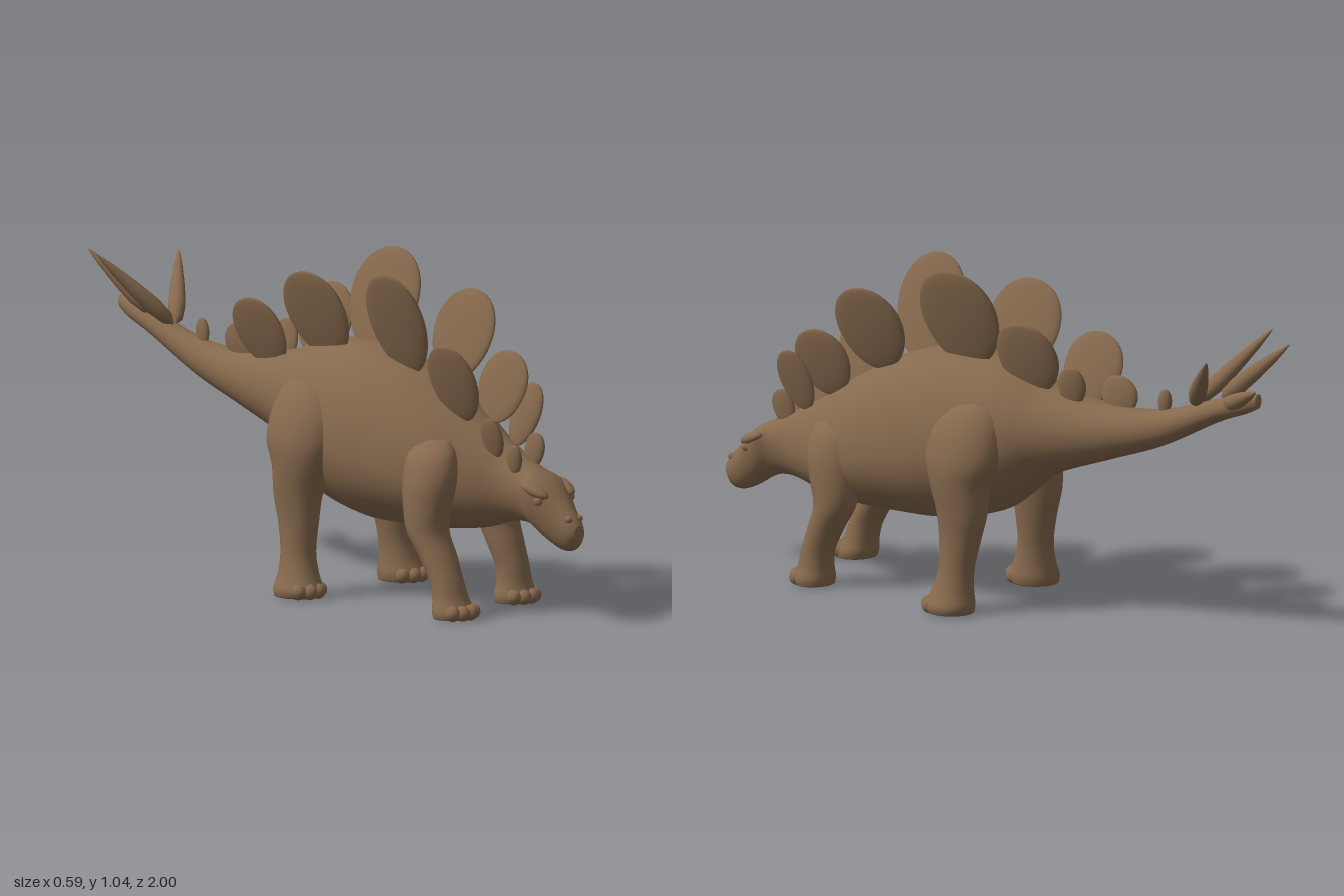
import * as THREE from 'three';

const skin = new THREE.MeshStandardMaterial({ color: 0x86694d });
skin.name = 'brown skin';

// Smooth interpolation of rows of numbers
function refine(rows, steps) {
  const out = [];
  const at = i => rows[Math.max(0, Math.min(rows.length - 1, i))];
  for (let i = 0; i < rows.length - 1; i++) {
    for (let s = 0; s < steps; s++) {
      const t = s / steps;
      out.push(rows[i].map((p1, k) => {
        const p0 = at(i - 1)[k], p2 = at(i + 1)[k], p3 = at(i + 2)[k];
        return p1 + 0.5 * t * (p2 - p0 + t * (2 * p0 - 5 * p1 + 4 * p2 - p3 + t * (3 * (p1 - p2) + p3 - p0)));
      }));
    }
  }
  out.push(rows[rows.length - 1]);
  return out;
}

// Closed skin over a row of rings; ringPoint gives a point at an angle
function loft(rows, sides, ringPoint) {
  const pos = [], index = [], n = rows.length;
  for (const row of rows) {
    for (let j = 0; j < sides; j++) pos.push(...ringPoint(row, (j / sides) * Math.PI * 2));
  }
  for (const r of [rows[0], rows[n - 1]]) {
    const a = ringPoint(r, 0), b = ringPoint(r, Math.PI);
    pos.push(...a.map((v, k) => (v + b[k]) / 2));
  }
  for (let i = 0; i < n; i++) {
    for (let j = 0; j < sides; j++) {
      const a = i * sides + j, b = i * sides + (j + 1) % sides;
      if (i < n - 1) index.push(a, a + sides, b, b, a + sides, b + sides);
      if (i === 0) index.push(n * sides, a, b);
      if (i === n - 1) index.push(n * sides + 1, b, a);
    }
  }
  const g = new THREE.BufferGeometry();
  g.setAttribute('position', new THREE.Float32BufferAttribute(pos, 3));
  g.setIndex(index);
  g.computeVertexNormals();
  return g;
}

// Body sections from snout to tail: z, centre x, top, bottom, half width, height of widest point
const BODY = [
  [1.0, 0.04, 0.3, 0.255, 0.02, 0.5],
  [0.978, 0.04, 0.33, 0.225, 0.038, 0.5],
  [0.94, 0.04, 0.37, 0.22, 0.052, 0.58],
  [0.89, 0.04, 0.42, 0.24, 0.073, 0.72],
  [0.85, 0.04, 0.445, 0.265, 0.084, 0.74],
  [0.81, 0.04, 0.465, 0.285, 0.072, 0.6],
  [0.76, 0.04, 0.49, 0.29, 0.072, 0.5],
  [0.7, 0.04, 0.52, 0.28, 0.09, 0.45],
  [0.62, 0.03, 0.57, 0.255, 0.13, 0.42],
  [0.5, 0.02, 0.65, 0.24, 0.185, 0.4],
  [0.35, 0.01, 0.73, 0.235, 0.21, 0.4],
  [0.18, 0.005, 0.775, 0.24, 0.22, 0.42],
  [0.0, 0.01, 0.77, 0.285, 0.2, 0.45],
  [-0.1, 0.015, 0.745, 0.35, 0.168, 0.48],
  [-0.2, 0.02, 0.71, 0.43, 0.128, 0.5],
  [-0.4, 0.02, 0.678, 0.505, 0.085, 0.5],
  [-0.6, 0.015, 0.692, 0.578, 0.053, 0.5],
  [-0.8, 0.01, 0.755, 0.68, 0.038, 0.5],
  [-0.9, 0.012, 0.782, 0.72, 0.027, 0.5],
  [-0.95, 0.015, 0.79, 0.745, 0.014, 0.5],
];

function bodyPoint([z, cx, top, bottom, hw, f], a) {
  const mid = bottom + (top - bottom) * f, s = Math.sin(a);
  return [cx + hw * Math.cos(a), mid + s * (s > 0 ? top - mid : mid - bottom), z];
}

// Leg sections from hip to sole: x, y, z, half width in x, half depth in z
const HIND_LEG = [
  [0.1, 0.665, 0.0, 0.03, 0.04],
  [0.13, 0.64, 0.01, 0.065, 0.085],
  [0.162, 0.57, 0.025, 0.083, 0.12],
  [0.182, 0.48, 0.03, 0.09, 0.127],
  [0.192, 0.4, 0.035, 0.08, 0.1],
  [0.197, 0.31, 0.025, 0.065, 0.083],
  [0.2, 0.23, 0.03, 0.056, 0.068],
  [0.208, 0.14, 0.037, 0.052, 0.057],
  [0.215, 0.075, 0.045, 0.06, 0.066],
  [0.222, 0.03, 0.052, 0.074, 0.08],
  [0.222, 0.006, 0.052, 0.07, 0.076],
];
const FRONT_LEG = [
  [0.1, 0.53, 0.53, 0.03, 0.04],
  [0.13, 0.49, 0.53, 0.065, 0.08],
  [0.152, 0.42, 0.53, 0.075, 0.09],
  [0.165, 0.34, 0.52, 0.072, 0.08],
  [0.172, 0.26, 0.515, 0.066, 0.066],
  [0.172, 0.19, 0.545, 0.06, 0.057],
  [0.175, 0.12, 0.572, 0.054, 0.052],
  [0.175, 0.065, 0.582, 0.058, 0.054],
  [0.175, 0.028, 0.588, 0.07, 0.062],
  [0.175, 0.006, 0.588, 0.067, 0.06],
];

const legPoint = ([x, y, z, rx, rz], a) => [x + rx * Math.cos(a), y, z - rz * Math.sin(a)];

// Plates: base point, tip point, half width
const PLATES = [
  [-0.01, 0.44, 0.77, -0.02, 0.53, 0.78, 0.03],
  [0.06, 0.45, 0.77, 0.07, 0.56, 0.79, 0.04],
  [-0.01, 0.48, 0.69, -0.045, 0.605, 0.695, 0.045],
  [0.07, 0.51, 0.69, 0.12, 0.7, 0.735, 0.06],
  [-0.02, 0.58, 0.56, -0.11, 0.82, 0.57, 0.1],
  [0.065, 0.57, 0.6, 0.13, 0.785, 0.62, 0.1],
  [0.07, 0.68, 0.42, 0.165, 0.95, 0.42, 0.125],
  [-0.02, 0.7, 0.33, -0.135, 1.015, 0.34, 0.12],
  [0.04, 0.73, 0.11, 0.145, 1.045, 0.1, 0.143],
  [-0.03, 0.71, 0.0, -0.13, 0.985, -0.02, 0.13],
  [0.045, 0.68, -0.12, 0.12, 0.91, -0.16, 0.112],
  [-0.01, 0.65, -0.26, -0.09, 0.865, -0.31, 0.105],
  [0.045, 0.66, -0.27, 0.07, 0.785, -0.3, 0.05],
  [0.01, 0.645, -0.41, 0.0, 0.765, -0.44, 0.065],
  [0.015, 0.67, -0.595, 0.02, 0.755, -0.61, 0.025],
];

// Tail spikes: base point, tip point
const SPIKES = [
  [0.0, 0.725, -0.71, -0.175, 0.945, -0.87],
  [0.01, 0.725, -0.71, 0.19, 0.915, -0.88],
  [0.0, 0.75, -0.8, -0.08, 0.935, -1.0],
  [0.01, 0.73, -0.82, 0.065, 0.81, -0.975],
];

export function createModel() {
  const model = new THREE.Group();
  const add = (name, geometry, parent = model) => {
    const m = new THREE.Mesh(geometry, skin);
    m.name = name;
    parent.add(m);
    return m;
  };
  // Stretches a unit-high part between two points, its breadth along z
  const span = (mesh, [bx, by, bz, tx, ty, tz], thick, breadth) => {
    const base = new THREE.Vector3(bx, by, bz);
    const up = new THREE.Vector3(tx, ty, tz).sub(base);
    const length = up.length();
    up.normalize();
    const side = new THREE.Vector3().crossVectors(up, new THREE.Vector3(0, 0, 1)).normalize();
    const front = new THREE.Vector3().crossVectors(side, up);
    mesh.quaternion.setFromRotationMatrix(new THREE.Matrix4().makeBasis(side, up, front));
    mesh.position.copy(base);
    mesh.scale.set(thick, length, breadth);
  };
  const ball = new THREE.SphereGeometry(1, 20, 14);
  const blob = (name, parent, x, y, z, rx, ry, rz) => {
    const m = add(name, ball, parent);
    m.position.set(x, y, z);
    m.scale.set(rx, ry, rz);
    return m;
  };

  add('body', loft(refine(BODY, 5), 40, bodyPoint));

  // Brow ridges, eyes and nostrils
  for (const s of [-1, 1]) {
    blob('browRidge', model, 0.04 + s * 0.064, 0.402, 0.872, 0.024, 0.017, 0.05).rotation.set(0.4, -s * 0.25, 0);
    blob('eye', model, 0.04 + s * 0.068, 0.372, 0.89, 0.012, 0.014, 0.016);
    blob('nostril', model, 0.04 + s * 0.022, 0.32, 0.975, 0.011, 0.011, 0.013);
  }

  // Legs with toes; the right front foot is a step ahead
  const leg = (name, rows, s, step, toes) => {
    const group = new THREE.Group();
    group.name = name;
    model.add(group);
    const top = rows[0][1];
    const placed = rows.map(([x, y, z, rx, rz]) => [s * x, y, z + step * (1 - y / top), rx, rz]);
    add('limb', loft(refine(placed, 4), 28, legPoint), group);
    const [x, , z, rx, rz] = placed[placed.length - 1];
    for (let i = 0; i < toes; i++) {
      const a = ((i + 0.5) / toes - 0.5) * 2.3;
      blob('toe', group, x + Math.sin(a) * rx * 0.85, 0.026, z + Math.cos(a) * rz * 0.9, 0.021, 0.024, 0.026);
    }
  };
  leg('leftHindLeg', HIND_LEG, 1, 0, 4);
  leg('rightHindLeg', HIND_LEG, -1, 0, 4);
  leg('leftFrontLeg', FRONT_LEG, 1, 0, 4);
  leg('rightFrontLeg', FRONT_LEG, -1, 0.09, 4);

  // Back plates: flat ovals, a little narrower at the base
  const plate = new THREE.SphereGeometry(1, 28, 20);
  const p = plate.attributes.position;
  for (let i = 0; i < p.count; i++) {
    const y = p.getY(i);
    p.setXYZ(i, p.getX(i), (y + 1) / 2, p.getZ(i) * (1 + 0.1 * y));
  }
  for (const row of PLATES) span(add('backPlate', plate), row, 0.012 + row[6] * 0.09, row[6]);

  // Tail spikes
  const outline = [[0, 0], [0.75, 0.08], [1, 0.25], [0.85, 0.5], [0.5, 0.78], [0.2, 0.94], [0, 1]];
  const spike = new THREE.LatheGeometry(outline.map(([r, y]) => new THREE.Vector2(r, y)), 16);
  for (const row of SPIKES) span(add('tailSpike', spike), row, 0.026, 0.028);

  return model;
}
